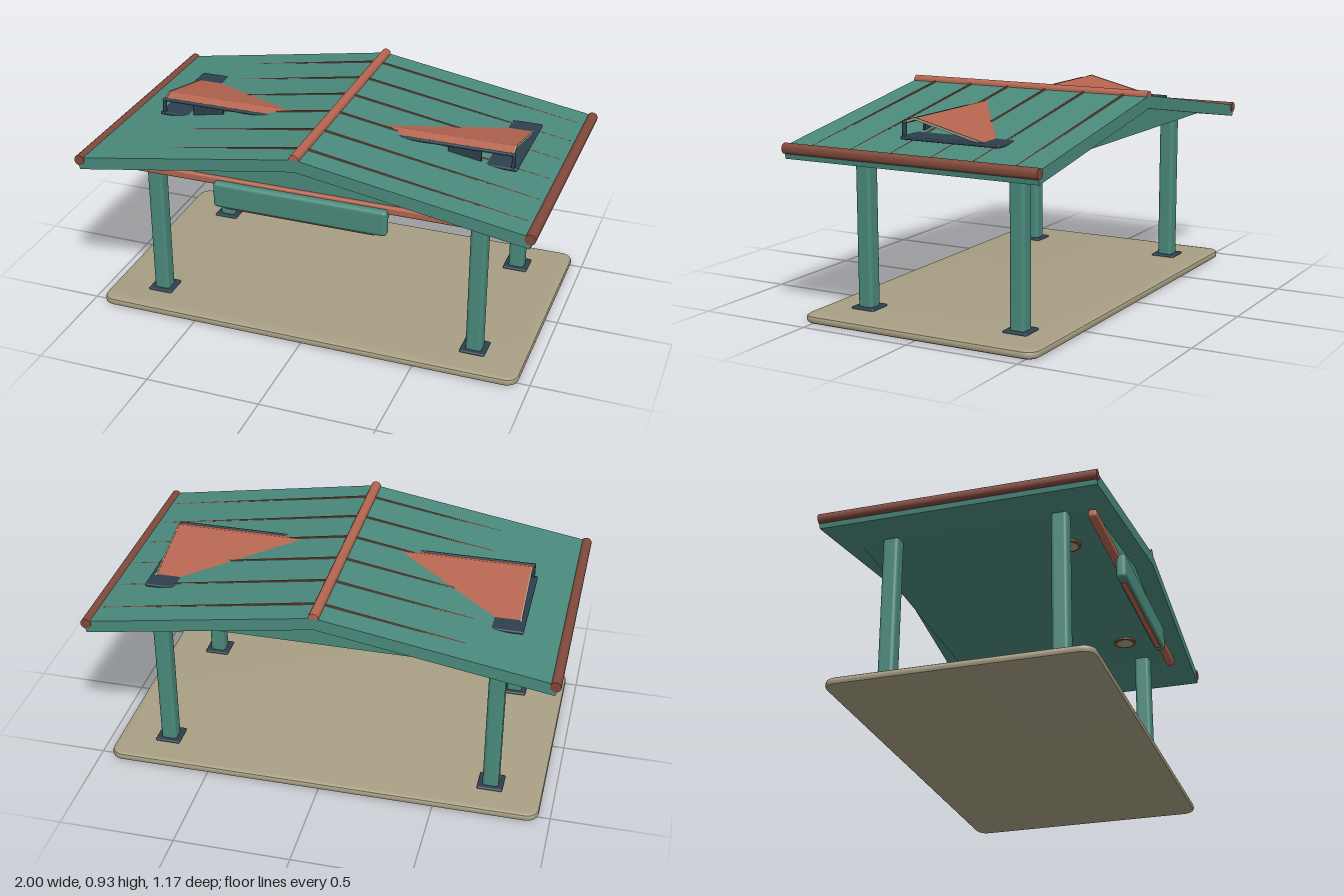
import * as THREE from 'three';
import { toCreasedNormals } from 'three/addons/utils/BufferGeometryUtils.js';
import { RoundedBoxGeometry } from 'three/addons/geometries/RoundedBoxGeometry.js';

const material = (name, color) => Object.assign(new THREE.MeshStandardMaterial({ color }), { name });

export function createModel() {
  const teal = material('teal paint', 0x4a8a7c);
  const copper = material('copper', 0xb5654f);
  const darkCopper = material('dark copper', 0x80493a);
  const navy = material('navy metal', 0x2d404d);
  const stone = material('warm stone', 0xa89f84);

  const model = new THREE.Group();
  model.name = 'pavilion';

  function add(name, geometry, mat, x = 0, y = 0, z = 0, parent = model) {
    const mesh = new THREE.Mesh(geometry, mat);
    mesh.name = name;
    mesh.position.set(x, y, z);
    parent.add(mesh);
    return mesh;
  }

  // Box given by its extents, with softened edges
  function block(name, mat, [x0, x1], [y0, y1], [z0, z1], radius, parent = model) {
    const geometry = new RoundedBoxGeometry(x1 - x0, y1 - y0, z1 - z0, 3, radius);
    return add(name, geometry, mat, (x0 + x1) / 2, (y0 + y1) / 2, (z0 + z1) / 2, parent);
  }

  // Round bar between two points
  function rod(name, mat, a, b, radius, sides = 16) {
    const from = new THREE.Vector3(...a), to = new THREE.Vector3(...b);
    const dir = to.clone().sub(from);
    const geometry = toCreasedNormals(new THREE.CylinderGeometry(radius, radius, dir.length(), sides), 0.7);
    const mesh = add(name, geometry, mat);
    mesh.position.copy(from).add(to).multiplyScalar(0.5);
    mesh.quaternion.setFromUnitVectors(new THREE.Vector3(0, 1, 0), dir.normalize());
    return mesh;
  }

  const outline = (points) => new THREE.Shape(points.map(([x, y]) => new THREE.Vector2(x, y)));

  // (x, y) section run along z, centred
  function alongZ(name, mat, points, half) {
    const geometry = new THREE.ExtrudeGeometry(outline(points), { depth: half * 2, bevelEnabled: false });
    return add(name, geometry, mat, 0, 0, -half);
  }

  // (z, y) section run along x from x0 to x1
  function alongX(name, mat, points, x0, x1, parent) {
    const geometry = new THREE.ExtrudeGeometry(outline(points), { depth: x1 - x0, bevelEnabled: false });
    geometry.rotateY(-Math.PI / 2);
    return add(name, geometry, mat, x1, 0, 0, parent);
  }

  // Floor slab with rounded corners and a softened rim
  const w = 0.93, d = 0.525, r = 0.04;
  const slab = new THREE.Shape();
  slab.moveTo(-w + r, -d).lineTo(w - r, -d).quadraticCurveTo(w, -d, w, -d + r);
  slab.lineTo(w, d - r).quadraticCurveTo(w, d, w - r, d);
  slab.lineTo(-w + r, d).quadraticCurveTo(-w, d, -w, d - r);
  slab.lineTo(-w, -d + r).quadraticCurveTo(-w, -d, -w + r, -d);
  const slabGeometry = new THREE.ExtrudeGeometry(slab, {
    depth: 0.013, bevelThickness: 0.012, bevelSize: 0.02, bevelSegments: 3, curveSegments: 6,
  });
  slabGeometry.rotateX(-Math.PI / 2);
  add('floorSlab', toCreasedNormals(slabGeometry, 0.6), stone, 0, 0.012, 0);

  // Posts on foot plates
  for (const x of [-0.725, 0.725]) {
    for (const z of [-0.362, 0.362]) {
      block('post', teal, [x - 0.035, x + 0.035], [0.01, 0.76], [z - 0.035, z + 0.035], 0.016);
      block('footPlate', navy, [x - 0.055, x + 0.055], [0.03, 0.046], [z - 0.055, z + 0.055], 0.007);
    }
  }

  // Gable roof and the flat-bottomed infill below it
  const slope = 0.165, top = 0.905;
  const roofY = (x) => top - slope * Math.abs(x);
  alongZ('roof', teal, [
    [0, top], [-0.988, roofY(0.988)], [-0.978, 0.69], [0, 0.85], [0.978, 0.69], [0.988, roofY(0.988)],
  ], 0.58);
  alongZ('gableInfill', teal, [[-0.745, 0.729], [0.745, 0.729], [0, 0.853]], 0.5);

  // Ridge cap and eave tubes
  rod('ridgeCap', copper, [0, 0.903, -0.58], [0, 0.903, 0.58], 0.022);
  for (const s of [-1, 1]) {
    rod('eaveTube', darkCopper, [s * 0.977, 0.733, -0.583], [s * 0.977, 0.733, 0.583], 0.023);
  }

  // Roof seams, sinking into the roof towards the eaves
  for (let i = 0; i < 6; i++) {
    const z = -0.467 + i * 0.187;
    for (const end of [-0.6, 0.94]) {
      const start = Math.sign(end) * 0.02;
      rod('roofSeam', darkCopper, [start, roofY(start) - 0.001, z], [end, roofY(end) - 0.006, z], 0.007, 8);
    }
  }

  // Roof vents: tray, tilted hood and open front frame
  for (const s of [-1, 1]) {
    const vent = new THREE.Group();
    vent.name = s > 0 ? 'leftVent' : 'rightVent';
    model.add(vent);
    const span = (a, b) => (s > 0 ? [a, b] : [-b, -a]);
    block('ventTray', navy, span(0.45, 0.81), [0.779, 0.793], [-0.315, 0.14], 0.006, vent);
    alongX('ventHood', copper, [
      [-0.24, 0.782], [0.08, 0.858], [0.12, 0.843], [0.12, 0.853], [0.08, 0.868], [-0.24, 0.79],
    ], ...span(0.2, 0.785), vent);
    alongX('ventHoodTrim', stone, [
      [-0.24, 0.782], [0.08, 0.859], [0.125, 0.844], [0.125, 0.855], [0.08, 0.87], [-0.24, 0.792],
    ], ...span(0.785, 0.791), vent);
    block('ventTopRail', navy, span(0.27, 0.798), [0.843, 0.856], [0.12, 0.136], 0.005, vent);
    block('ventPost', navy, span(0.784, 0.798), [0.785, 0.856], [0.12, 0.138], 0.005, vent);
    block('ventPanel', navy, span(0.51, 0.655), [0.785, 0.852], [0.118, 0.13], 0.003, vent);
  }

  // Front beam with hanging board
  block('frontBeam', copper, [-0.745, 0.745], [0.692, 0.728], [0.478, 0.515], 0.01);
  block('hangingBoard', teal, [-0.38, 0.38], [0.602, 0.716], [0.5, 0.545], 0.016);
  block('boardTrim', copper, [-0.33, 0.33], [0.597, 0.606], [0.51, 0.535], 0.003);

  // Ceiling lights
  for (const x of [-0.49, 0.49]) {
    add('lightRing', new THREE.CylinderGeometry(0.05, 0.05, 0.014, 24), darkCopper, x, 0.727, 0.33);
    add('lightDisc', new THREE.CylinderGeometry(0.038, 0.038, 0.014, 24), stone, x, 0.725, 0.33);
  }

  return model;
}
